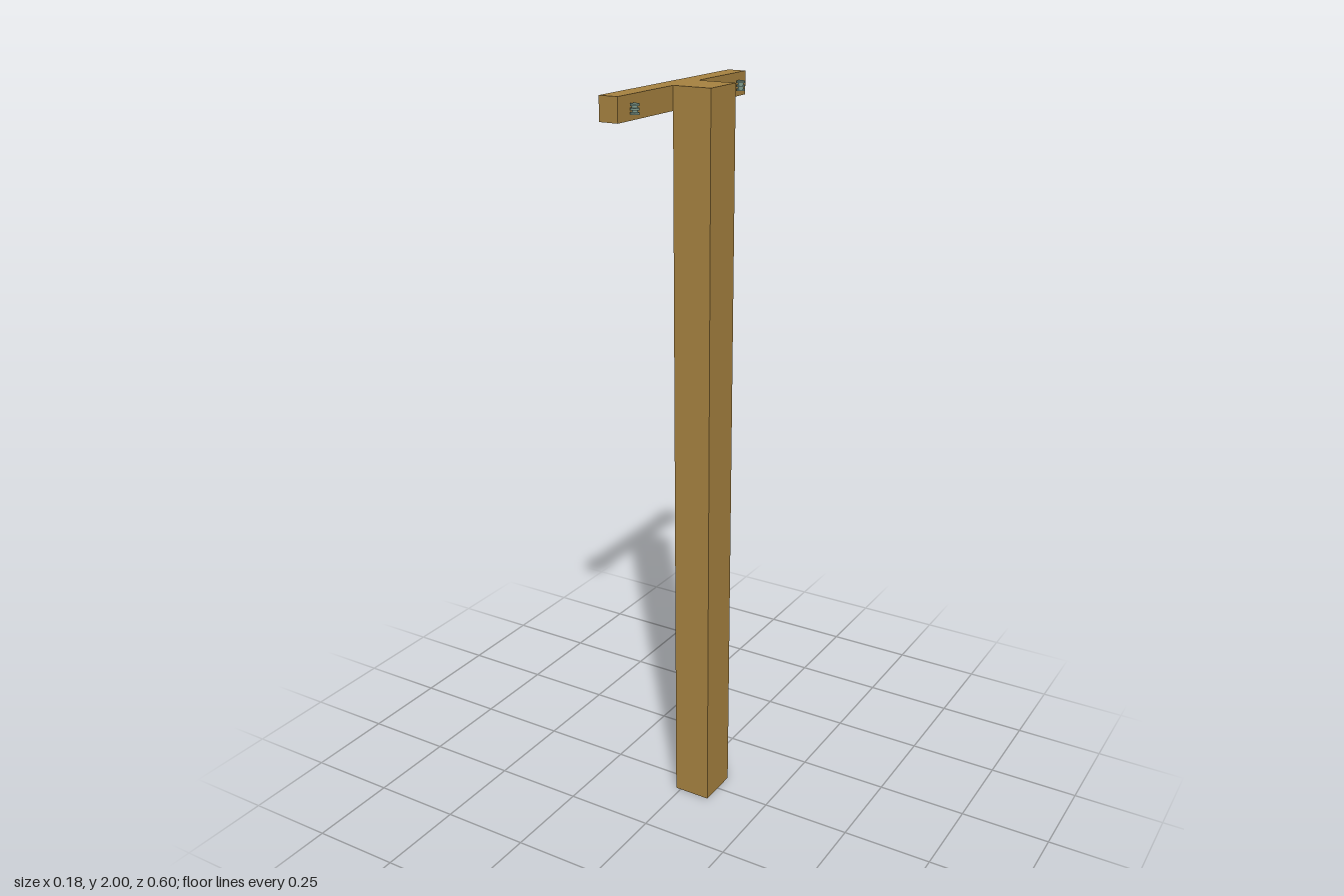
import * as THREE from 'three';

export function createModel() {
  const wood = new THREE.MeshStandardMaterial({ color: 0xa68240 });
  wood.name = 'wood';
  const glass = new THREE.MeshStandardMaterial({ color: 0x7d998b });
  glass.name = 'greyGreenGlass';

  const model = new THREE.Group();
  model.name = 'utilityPole';

  function add(parent, name, geometry, material, x, y, z) {
    const mesh = new THREE.Mesh(geometry, material);
    mesh.name = name;
    mesh.position.set(x, y, z);
    parent.add(mesh);
  }

  // Square post with a crossarm fixed flush to its side at the top
  add(model, 'post', new THREE.BoxGeometry(0.105, 2, 0.12), wood, 0.0375, 1, 0);
  add(model, 'crossarm', new THREE.BoxGeometry(0.051, 0.06, 0.6), wood, -0.0405, 1.97, 0);

  // Ribbed insulators on both faces of the arm, near each end
  const rib = new THREE.CylinderGeometry(0.011, 0.011, 0.005, 20);
  const core = new THREE.CylinderGeometry(0.007, 0.007, 0.025, 16);
  for (const x of [-0.079, -0.001]) {
    for (const z of [-0.25, 0.25]) {
      const insulator = new THREE.Group();
      insulator.name = 'insulator';
      insulator.position.set(x, 1.968, z);
      add(insulator, 'insulatorCore', core, glass, 0, 0, 0);
      for (const y of [-0.01, 0, 0.01]) add(insulator, 'insulatorRib', rib, glass, 0, y, 0);
      model.add(insulator);
    }
  }
  return model;
}
